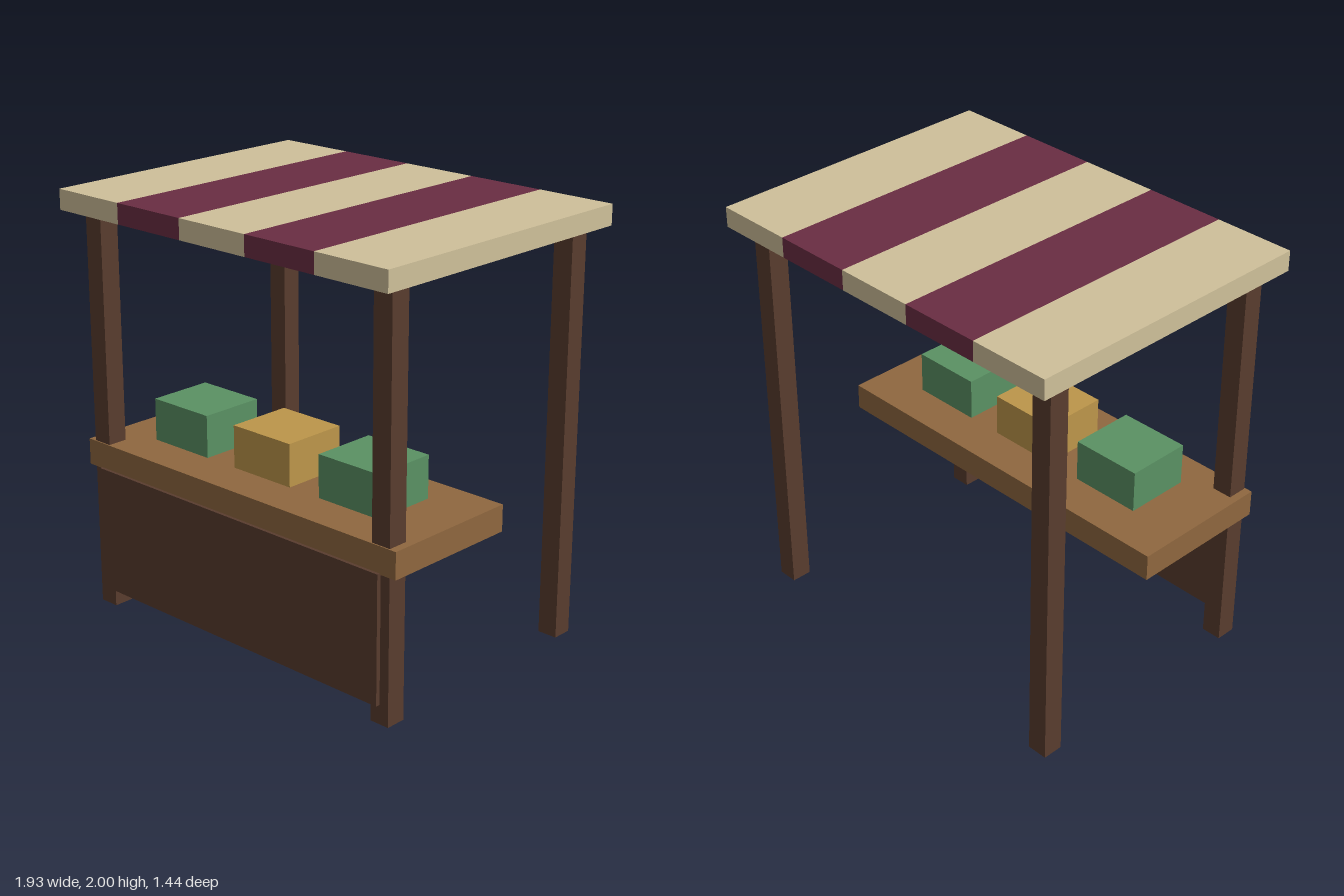
import * as THREE from 'three';

const material = (color) => new THREE.MeshStandardMaterial({ color });
const darkWood = material(0x593c2e);
const lightWood = material(0x8f673f);
const cream = material(0xcfc09a);
const maroon = material(0x6a2d43);
const green = material(0x5a9163);
const ochre = material(0xbd964a);

export function createModel() {
  const stall = new THREE.Group();
  stall.name = 'marketStall';

  // Box given by its centre in x and its extents in y and z
  const addBox = (name, mat, x, width, [y0, y1], [z0, z1]) => {
    const mesh = new THREE.Mesh(new THREE.BoxGeometry(width, y1 - y0, z1 - z0), mat);
    mesh.position.set(x, (y0 + y1) / 2, (z0 + z1) / 2);
    mesh.name = name;
    stall.add(mesh);
  };

  // Four corner posts
  for (const [side, x] of [['Left', 0.859], ['Right', -0.859]]) {
    addBox(`front${side}Post`, darkWood, x, 0.097, [0, 1.905], [0.527, 0.624]);
    addBox(`back${side}Post`, darkWood, x, 0.097, [0, 1.905], [-0.622, -0.525]);
  }

  // Counter and the panel below it
  addBox('counterTop', lightWood, 0, 1.89, [0.685, 0.81], [-0.055, 0.63]);
  addBox('frontPanel', darkWood, 0, 1.72, [0.09, 0.69], [0.59, 0.645]);

  // Goods, resting just clear of the counter
  [green, ochre, green].forEach((mat, i) => {
    addBox(`goodsCrate${i + 1}`, mat, (i - 1) * 0.516, 0.343, [0.82, 1.02], [0.132, 0.446]);
  });

  // Striped flat canopy
  const stripe = 0.387;
  for (let i = 0; i < 5; i++) {
    addBox(`canopyStripe${i + 1}`, i % 2 ? maroon : cream, (i - 2) * stripe, stripe, [1.905, 2], [-0.718, 0.718]);
  }

  return stall;
}
